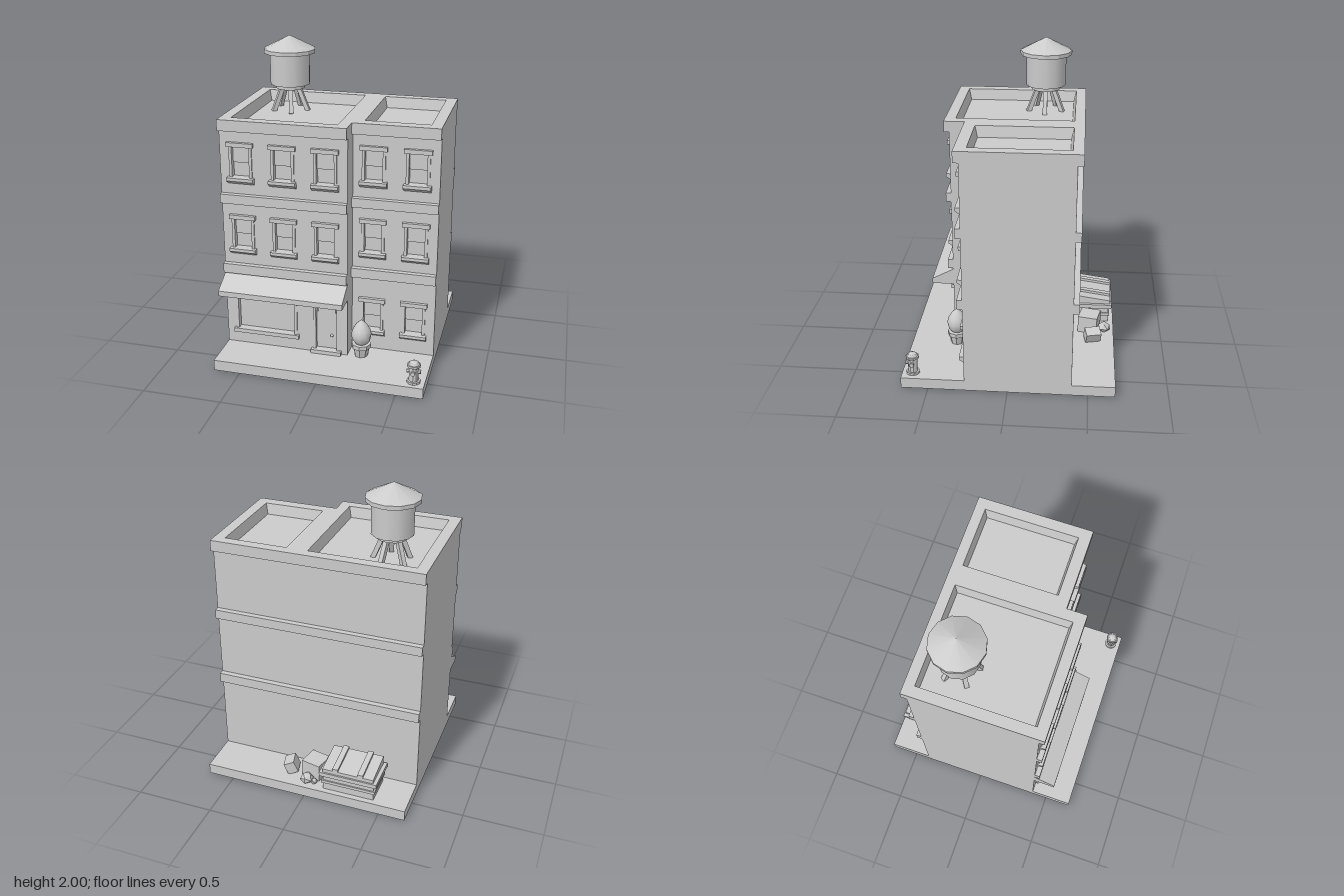
import * as THREE from 'three';

const GROUND = 0.07, ROOF = 1.515, TOP = 1.585;
const smooth = new THREE.MeshStandardMaterial({ color: 0xcccccc });
const flat = new THREE.MeshStandardMaterial({ color: 0xcccccc, flatShading: true });

function add(parent, name, geometry, material = flat) {
  const mesh = new THREE.Mesh(geometry, material);
  mesh.name = name;
  parent.add(mesh);
  return mesh;
}

// Box given by its limits on each axis
function block(parent, name, x0, x1, y0, y1, z0, z1) {
  const mesh = add(parent, name, new THREE.BoxGeometry(x1 - x0, y1 - y0, z1 - z0));
  mesh.position.set((x0 + x1) / 2, (y0 + y1) / 2, (z0 + z1) / 2);
  return mesh;
}

function rectangle(x0, x1, y0, y1, Type = THREE.Shape) {
  return new Type([[x0, y0], [x1, y0], [x1, y1], [x0, y1]].map(p => new THREE.Vector2(...p)));
}

// Profile in (z, y), swept along x
function prism(parent, name, profile, x0, x1) {
  const shape = new THREE.Shape(profile.map(([z, y]) => new THREE.Vector2(-z, y)));
  const g = new THREE.ExtrudeGeometry(shape, { depth: x1 - x0, bevelEnabled: false });
  g.rotateY(Math.PI / 2).translate(x0, 0, 0);
  return add(parent, name, g);
}

function turned(parent, name, points, sides, material = smooth) {
  return add(parent, name, new THREE.LatheGeometry(points.map(p => new THREE.Vector2(...p)), sides), material);
}

// Trim around an opening: lintel, jambs and a wedge-shaped sill
function addWindow(parent, name, x0, x1, y0, y1, z, sashed) {
  const w = new THREE.Group();
  w.name = name;
  parent.add(w);
  block(w, 'lintel', x0 - 0.03, x1 + 0.03, y1, y1 + 0.027, z - 0.01, z + 0.022);
  block(w, 'jamb', x0 - 0.018, x0, y0, y1, z - 0.028, z + 0.008);
  block(w, 'jamb', x1, x1 + 0.018, y0, y1, z - 0.028, z + 0.008);
  if (sashed) {
    prism(w, 'sill', [[z - 0.01, y0 - 0.025], [z, y0 - 0.025], [z + 0.035, y0], [z + 0.035, y0 + 0.02], [z - 0.028, y0 + 0.02]],
      x0 - 0.03, x1 + 0.03);
    block(w, 'upperSash', x0, x1, (y0 + y1) / 2, y1, z - 0.032, z - 0.02);
  } else {
    block(w, 'sill', x0 - 0.03, x1 + 0.03, y0 - 0.027, y0, z - 0.01, z + 0.022);
  }
}

// One half of the building: core, pierced facade, floor bands and parapet
function addWing(parent, name, x0, x1, front, hole, windows, extraHoles) {
  const wing = new THREE.Group();
  wing.name = name;
  parent.add(wing);
  block(wing, 'core', x0, x1, GROUND, ROOF, -0.4, front - 0.03);

  const wall = rectangle(x0, x1, GROUND, ROOF);
  for (const h of [...windows, ...extraHoles]) wall.holes.push(rectangle(...h, THREE.Path));
  add(wing, 'facade', new THREE.ExtrudeGeometry(wall, { depth: 0.03, bevelEnabled: false })).position.z = front - 0.03;
  for (const h of windows) addWindow(wing, 'window', ...h, front, true);

  for (const [y0, y1] of [[0.577, 0.64], [1.05, 1.11]]) {
    block(wing, 'frontBand', x0, x1, y0, y1, front, front + 0.033);
    block(wing, 'backBand', x0, x1, y0, y1, -0.435, -0.4);
  }

  // Parapet ring whose inner walls lean in towards the roof floor
  const ring = rectangle(x0, x1, -front - 0.033, 0.435);
  ring.holes.push(rectangle(...hole, THREE.Path));
  const g = new THREE.ExtrudeGeometry(ring, { depth: TOP - ROOF, bevelEnabled: false });
  const p = g.attributes.position, [hx0, hx1, hy0, hy1] = hole, e = 0.001;
  for (let i = 0; i < p.count; i++) {
    const x = p.getX(i), y = p.getY(i);
    if (p.getZ(i) > e || x < hx0 - e || x > hx1 + e || y < hy0 - e || y > hy1 + e) continue;
    p.setX(i, x + (x < (hx0 + hx1) / 2 ? 0.016 : -0.016));
    p.setY(i, y + (y < (hy0 + hy1) / 2 ? 0.016 : -0.016));
  }
  g.rotateX(-Math.PI / 2).translate(0, ROOF, 0);
  g.computeVertexNormals();
  add(wing, 'parapet', g);
  return wing;
}

function waterTank() {
  const tank = new THREE.Group();
  tank.name = 'waterTank';
  add(tank, 'barrel', new THREE.CylinderGeometry(0.13, 0.13, 0.205, 12), smooth).position.y = 1.79;
  add(tank, 'platform', new THREE.CylinderGeometry(0.095, 0.095, 0.03, 12), flat).position.y = 1.675;
  add(tank, 'eave', new THREE.CylinderGeometry(0.167, 0.167, 0.025, 12), flat).position.y = 1.9025;
  add(tank, 'roof', new THREE.ConeGeometry(0.167, 0.085, 12), smooth).position.y = 1.9575;
  // Splayed legs
  for (let i = 0; i < 5; i++) {
    const pivot = new THREE.Group();
    pivot.rotation.y = i * Math.PI * 2 / 5;
    tank.add(pivot);
    const leg = add(pivot, 'leg', new THREE.BoxGeometry(0.028, 0.17, 0.028));
    leg.position.set(0.085, 1.59, 0);
    leg.rotation.z = 0.38;
  }
  tank.position.set(-0.39, 0, -0.17);
  return tank;
}

function dumpster() {
  const d = new THREE.Group();
  d.name = 'dumpster';
  block(d, 'bin', -0.455, -0.12, GROUND, 0.19, -0.635, -0.437);
  block(d, 'lowerBand', -0.465, -0.11, 0.12, 0.14, -0.643, -0.43);
  block(d, 'rim', -0.478, -0.1, 0.18, 0.208, -0.655, -0.42);
  const lid = t => [[-0.43, 0.2], [-0.43, 0.263 + t], [-0.645, 0.232 + t], [-0.645, 0.2]];
  prism(d, 'lid', lid(0), -0.455, -0.12);
  for (const x of [-0.37, -0.205]) prism(d, 'lidRib', lid(0.017), x - 0.018, x + 0.018);
  return d;
}

export function createModel() {
  const model = new THREE.Group();
  model.name = 'cornerBuilding';
  block(model, 'pavement', -0.67, 0.67, 0, GROUND, -0.67, 0.67);

  // Window grid: opening limits for each column and floor
  const grid = (xs, ys) => ys.flatMap(y => xs.map(x => [x - 0.055, x + 0.055, y, y + 0.215]));
  const shop = [-0.59, -0.213, 0.177, 0.405], door = [-0.07, 0.067, 0.095, 0.405];
  const main = addWing(model, 'mainWing', -0.67, 0.135, 0.4, [-0.6, 0.065, -0.365, 0.37],
    grid([-0.537, -0.27, -0.003], [1.2, 0.73]), [shop, door]);
  addWing(model, 'sideWing', 0.135, 0.67, 0.27, [0.2, 0.6, -0.23, 0.37],
    grid([0.265, 0.535], [1.2, 0.73, 0.19]), []);

  // Shop front: display window, door and awning
  addWindow(main, 'displayWindow', ...shop, 0.4, false);
  block(main, 'doorLintel', -0.1, 0.097, 0.405, 0.432, 0.39, 0.422);
  for (const x of [-0.088, 0.067]) block(main, 'doorJamb', x, x + 0.018, 0.095, 0.405, 0.372, 0.408);
  block(main, 'doorStep', -0.1, 0.097, GROUND, 0.095, 0.37, 0.43);
  block(main, 'door', -0.07, 0.067, 0.095, 0.35, 0.365, 0.38);
  block(main, 'transom', -0.058, 0.055, 0.35, 0.4, 0.365, 0.385);
  add(main, 'doorKnob', new THREE.SphereGeometry(0.01, 8, 6), smooth).position.set(0.03, 0.19, 0.387);
  prism(main, 'awning', [[0.4, 0.46], [0.54, 0.46], [0.54, 0.495], [0.4, 0.568]], -0.67, 0.135);

  model.add(waterTank(), dumpster());

  // Potted shrub
  const shrub = new THREE.Group();
  shrub.name = 'pottedShrub';
  turned(shrub, 'pot', [[0, 0], [0.042, 0], [0.055, 0.06], [0.063, 0.06], [0.063, 0.088], [0, 0.088]], 8, flat);
  turned(shrub, 'foliage', [[0, 0.08], [0.04, 0.09], [0.058, 0.115], [0.065, 0.15], [0.057, 0.185], [0.035, 0.222], [0, 0.255]], 10);
  shrub.position.set(0.22, GROUND, 0.372);
  model.add(shrub);

  // Fire hydrant with side and front outlets
  const hydrant = new THREE.Group();
  hydrant.name = 'hydrant';
  turned(hydrant, 'barrel', [[0, 0], [0.042, 0], [0.042, 0.014], [0.03, 0.014], [0.03, 0.11], [0.042, 0.11], [0.042, 0.124],
    [0.034, 0.124], [0.026, 0.138], [0.01, 0.146], [0, 0.146]], 10, flat);
  for (let i = 0; i < 3; i++) {
    const outlet = add(hydrant, 'outlet', new THREE.CylinderGeometry(0.014, 0.014, 0.02, 8).rotateX(Math.PI / 2));
    const a = (i - 1) * Math.PI / 2;
    outlet.position.set(Math.sin(a) * 0.033, 0.075, Math.cos(a) * 0.033);
    outlet.rotation.y = a;
  }
  hydrant.position.set(0.6, GROUND, 0.602);
  model.add(hydrant);

  // Boxes and rubbish bags behind the building
  const crate = add(model, 'largeBox', new THREE.BoxGeometry(0.13, 0.115, 0.13));
  crate.position.set(-0.022, GROUND + 0.0575, -0.505);
  crate.rotation.y = -0.21;
  const carton = add(model, 'smallBox', new THREE.BoxGeometry(0.07, 0.08, 0.1));
  carton.position.set(0.137, GROUND + 0.045, -0.527);
  carton.rotation.set(0, 0.25, -0.4, 'YXZ');
  for (const [x, z, r] of [[0.002, -0.606, 0.045], [-0.048, -0.607, 0.024]]) {
    const bag = add(model, 'rubbishBag', new THREE.IcosahedronGeometry(r, 0));
    bag.position.set(x, GROUND + r * 0.6, z);
    bag.scale.y = 0.8;
  }
  return model;
}
